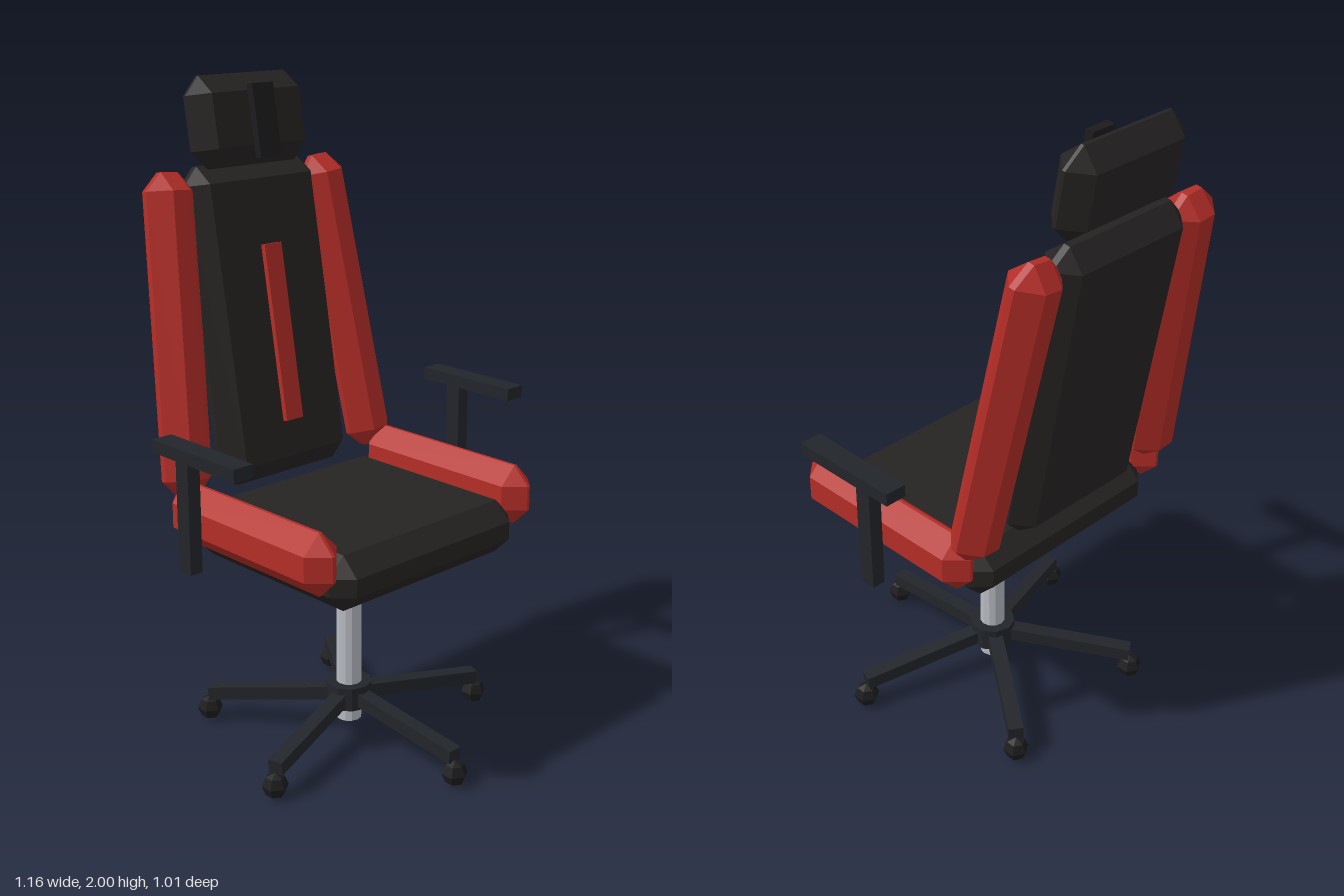
import * as THREE from 'three';
import { ConvexGeometry } from 'three/addons/geometries/ConvexGeometry.js';

const mat = (color) => new THREE.MeshStandardMaterial({ color, flatShading: true });
const LEAN = -0.17;

// Box with every edge and corner chamfered by b
function chamferBox(w, h, d, b) {
  const pts = [];
  const half = [w / 2, h / 2, d / 2];
  for (const sx of [-1, 1]) for (const sy of [-1, 1]) for (const sz of [-1, 1]) {
    for (let full = 0; full < 3; full++) {
      const c = half.map((v, i) => (i === full ? v : v - b));
      pts.push(new THREE.Vector3(sx * c[0], sy * c[1], sz * c[2]));
    }
  }
  return new ConvexGeometry(pts);
}

export function createModel() {
  const chair = new THREE.Group();
  chair.name = 'officeChair';
  const black = mat(0x262423), red = mat(0xb42d27), frame = mat(0x22252a), rubber = mat(0x1c1c1e), steel = mat(0xb9bcc3);

  function add(name, geometry, material, x, y, z, rx = 0, rz = 0, parent = chair) {
    const m = new THREE.Mesh(geometry, material);
    m.name = name;
    m.position.set(x, y, z);
    m.rotation.set(rx, 0, rz);
    parent.add(m);
    return m;
  }

  // Cushions
  add('seat', chamferBox(0.74, 0.165, 0.68, 0.055), black, 0, 0.692, 0.04);
  add('backrest', chamferBox(0.5, 0.96, 0.13, 0.055), black, 0, 1.267, -0.355, LEAN);
  add('backrestStripe', new THREE.BoxGeometry(0.066, 0.54, 0.03), red, 0, 1.237, -0.282, LEAN);
  add('headrest', chamferBox(0.44, 0.27, 0.12, 0.055), black, 0, 1.865, -0.427, LEAN);
  add('headrestStrap', new THREE.BoxGeometry(0.08, 0.215, 0.025), rubber, 0, 1.868, -0.344, LEAN);

  // Bolsters and armrests, mirrored
  for (const s of [1, -1]) {
    const side = s > 0 ? 'left' : 'right';
    add(side + 'SeatBolster', chamferBox(0.12, 0.185, 0.68, 0.055), red, s * 0.4, 0.772, 0.04);
    add(side + 'BackBolster', chamferBox(0.17, 0.95, 0.13, 0.055), red, s * 0.335, 1.267, -0.357, LEAN, s * 0.088);
    add(side + 'ArmPost', new THREE.BoxGeometry(0.042, 0.34, 0.052), frame, s * 0.548, 0.85, -0.051);
    add(side + 'ArmPad', new THREE.BoxGeometry(0.067, 0.038, 0.355), frame, s * 0.548, 1.032, 0.012);
  }

  // Tilt mechanism, column and hub
  add('tiltMechanism', chamferBox(0.16, 0.1, 0.165, 0.02), frame, 0, 0.605, 0.018);
  const base = new THREE.Group();
  base.name = 'base';
  base.position.z = 0.018;
  chair.add(base);
  add('gasColumn', new THREE.CylinderGeometry(0.04, 0.04, 0.45, 12), steel, 0, 0.278, 0, 0, 0, base);
  add('hub', new THREE.CylinderGeometry(0.072, 0.072, 0.075, 10), frame, 0, 0.14, 0, 0, 0, base);

  // Five sloping legs, each with a caster
  const drop = Math.atan2(0.045, 0.45);
  const wheel = new THREE.SphereGeometry(0.04, 6, 4).rotateY(Math.PI / 2);
  for (let i = 0; i < 5; i++) {
    const a = (i * Math.PI * 2) / 5;
    const leg = add('leg', new THREE.BoxGeometry(0.046, 0.042, 0.45), frame,
      Math.sin(a) * 0.225, 0.118, Math.cos(a) * 0.225, 0, 0, base);
    leg.rotation.set(drop, a, 0, 'YXZ');
    add('caster', wheel, rubber, Math.sin(a) * 0.45, 0.04, Math.cos(a) * 0.45, 0, 0, base);
  }
  return chair;
}
